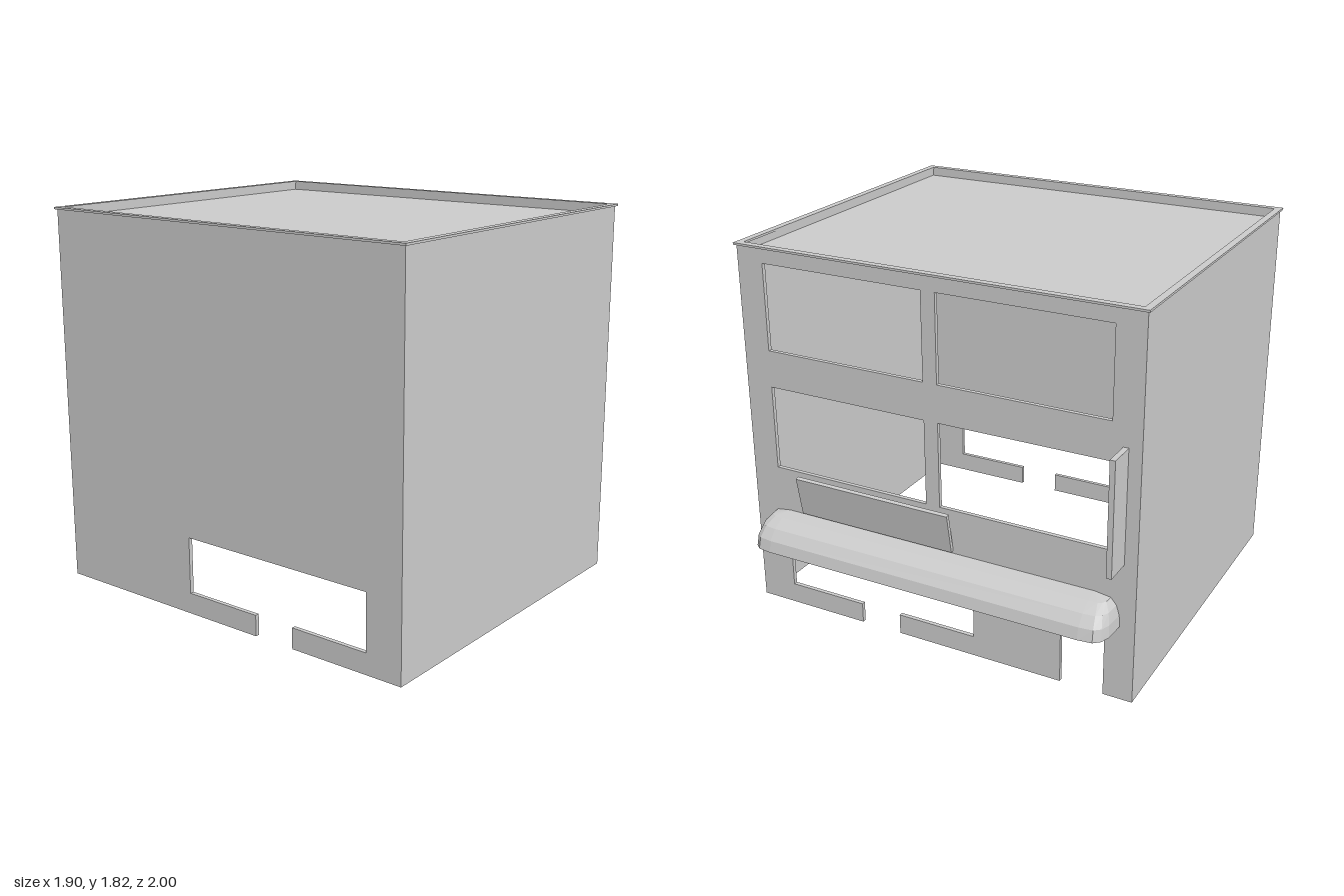
import * as THREE from 'three';

const MAT = new THREE.MeshStandardMaterial({ color: 0xcccccc, flatShading: true });
const OPEN_MAT = new THREE.MeshStandardMaterial({ color: 0xcccccc, flatShading: true, side: THREE.DoubleSide });

// Outer faces of the building
const X0 = -0.94, X1 = 0.765, Z = 0.99, TOP = 1.805, WALL = 0.02;
const MID = (X0 + X1) / 2;

export function createModel() {
  const model = new THREE.Group();
  model.name = 'shopBuilding';

  const add = (name, geometry, material = MAT) => {
    const mesh = new THREE.Mesh(geometry, material);
    mesh.name = name;
    model.add(mesh);
    return mesh;
  };
  const box = (name, x0, x1, y0, y1, z0, z1) =>
    add(name, new THREE.BoxGeometry(x1 - x0, y1 - y0, z1 - z0)
      .translate((x0 + x1) / 2, (y0 + y1) / 2, (z0 + z1) / 2));
  const rect = (PathType, x0, x1, y0, y1) =>
    new PathType([[x0, y0], [x1, y0], [x1, y1], [x0, y1]].map(p => new THREE.Vector2(...p)));

  // Wall drawn in (-z, y) and extruded along x, with a shop opening reaching the ground
  const shopWall = (name, x, hasDoor, windows) => {
    const pts = [[-Z, 0], [-0.41, 0], [-0.41, 0.1], [-0.81, 0.1], [-0.81, 0.37],
      [0.2, 0.37], [0.2, 0.1], [-0.2, 0.1], [-0.2, 0]];
    if (hasDoor) pts.push([0.64, 0], [0.64, 0.37], [0.85, 0.37], [0.85, 0]);
    pts.push([Z, 0], [Z, TOP], [-Z, TOP]);
    const shape = new THREE.Shape(pts.map(p => new THREE.Vector2(...p)));
    shape.holes = windows.map(w => rect(THREE.Path, ...w));
    add(name, new THREE.ExtrudeGeometry(shape, { depth: WALL, bevelEnabled: false })
      .rotateY(Math.PI / 2).translate(x, 0, 0));
  };
  const windows = [];
  for (const [y0, y1] of [[0.73, 1.14], [1.32, 1.735]]) {
    windows.push([-0.855, -0.035, y0, y1], [0.035, 0.855, y0, y1]);
  }
  shopWall('facade', X1 - WALL, true, windows);
  shopWall('rearShopWall', X0, false, []);

  // Plain side walls, open at the bottom
  for (const s of [-1, 1]) {
    const a = s * Z, b = s * (Z - WALL);
    box(s > 0 ? 'frontWall' : 'backWall', X0 + WALL, X1 - WALL, 0, TOP, Math.min(a, b), Math.max(a, b));
  }

  // Sunken roof and overhanging coping
  box('roof', X0 + WALL, X1 - WALL, 1.75, 1.77, -Z + WALL, Z - WALL);
  const coping = rect(THREE.Shape, X0 - 0.012, X1 + 0.012, -1, 1);
  coping.holes = [rect(THREE.Path, X0 + 0.022, X1 - 0.022, -0.966, 0.966)];
  add('coping', new THREE.ExtrudeGeometry(coping, { depth: 0.01, bevelEnabled: false })
    .rotateX(-Math.PI / 2).translate(0, TOP, 0));

  // Projecting sign board
  box('projectingSign', X1, 0.9, 0.675, 1.215, -0.93, -0.905);

  // Leaning sign panel above the awning
  const panel = new THREE.Shape([[0.763, 0.527], [0.78, 0.523], [0.816, 0.72], [0.799, 0.726]]
    .map(p => new THREE.Vector2(...p)));
  add('signPanel', new THREE.ExtrudeGeometry(panel, { depth: 0.815, bevelEnabled: false })
    .translate(0, 0, -0.1));

  add('awning', awningGeometry(), OPEN_MAT);
  return model;
}

// Long half-dome with rounded ends: rings rise from the hem to the ridge at the wall
function awningGeometry() {
  const LAYERS = 4, CORNER = 4, cols = 2 * (CORNER + 1);
  const pos = [], index = [];
  for (let j = 0; j <= LAYERS; j++) {
    const phi = (j / LAYERS) * Math.PI / 2;
    const c = Math.max(Math.cos(phi), 0);
    for (let i = 0; i < cols; i++) {
      const s = i <= CORNER ? 1 : -1;
      const k = s > 0 ? CORNER - i : i - CORNER - 1;
      const th = (k / CORNER) * Math.PI / 2;
      pos.push(
        X1 + 0.18 * c * Math.pow(Math.max(Math.cos(th), 0), 0.6),
        0.37 + 0.143 * Math.sin(phi),
        s * (0.8 + 0.12 * Math.sqrt(c) * Math.pow(Math.sin(th), 0.6)));
    }
  }
  for (let j = 0; j < LAYERS; j++) {
    for (let i = 0; i < cols - 1; i++) {
      const a = j * cols + i, b = a + 1, d = a + cols, e = d + 1;
      index.push(a, b, e, a, e, d);
    }
  }
  const g = new THREE.BufferGeometry();
  g.setAttribute('position', new THREE.Float32BufferAttribute(pos, 3));
  g.setIndex(index);
  g.computeVertexNormals();
  return g;
}
